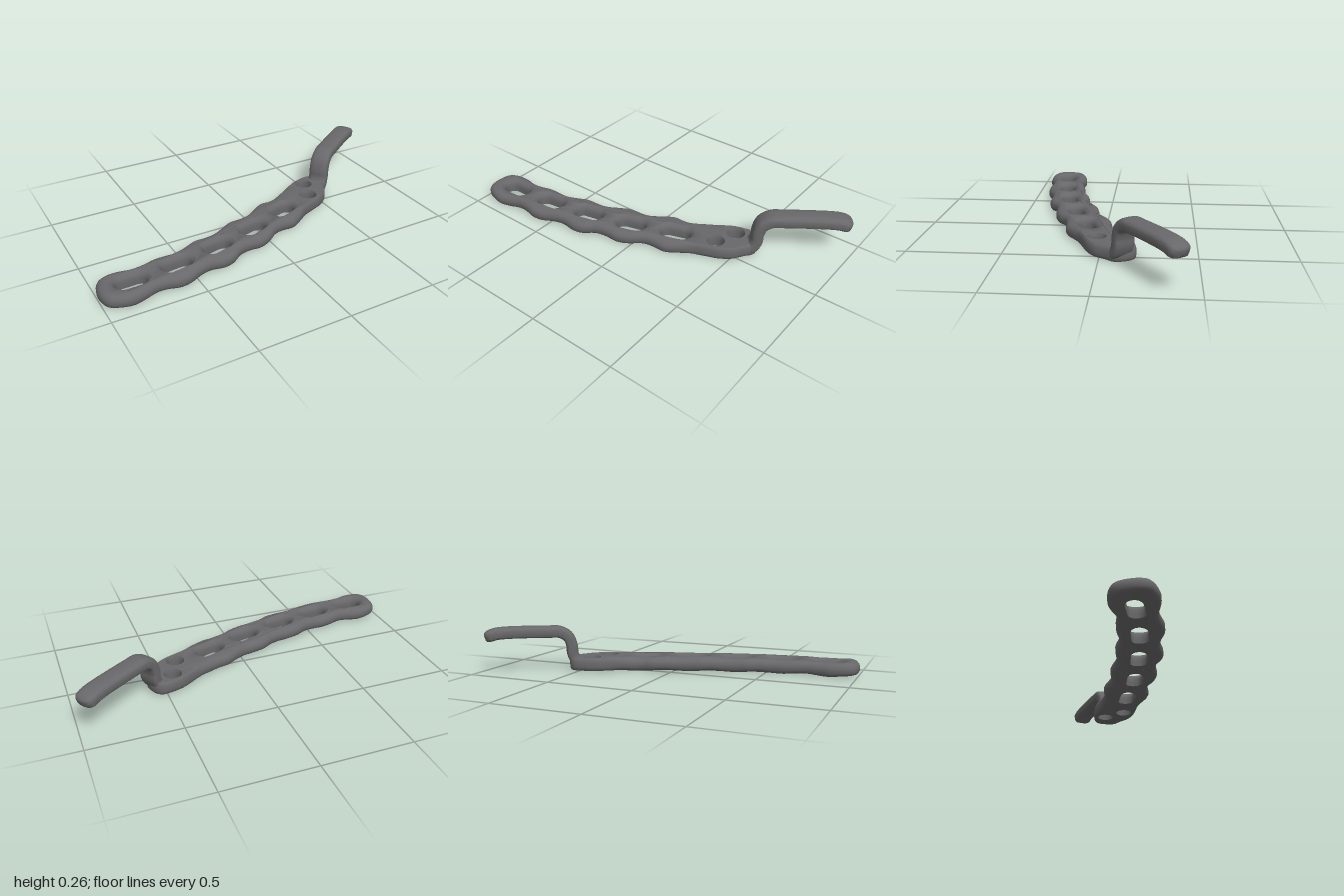
import * as THREE from 'three';
import { toCreasedNormals } from 'three/addons/utils/BufferGeometryUtils.js';

const metal = new THREE.MeshStandardMaterial({ color: 0x68686a });
metal.name = 'dark grey metal';

function makeGeometry(positions, index) {
  const g = new THREE.BufferGeometry();
  g.setAttribute('position', new THREE.Float32BufferAttribute(positions, 3));
  g.setIndex(index);
  return toCreasedNormals(g, 0.7);
}

// Scalloped plate edge as [x, z]: back edge left to right, then front edge back again
const EDGE = [
  [-1, .30], [-.98, .245], [-.93, .215], [-.86, .203], [-.79, .215], [-.73, .215], [-.66, .195],
  [-.60, .187], [-.545, .187], [-.475, .17], [-.41, .14], [-.34, .13], [-.28, .12], [-.21, .09],
  [-.155, .06], [-.10, .05], [-.03, .037], [.03, .005], [.10, -.035], [.165, -.043], [.235, -.07],
  [.30, -.10], [.35, -.13], [.40, -.16], [.46, -.18], [.53, -.187], [.565, -.16], [.588, -.08],
  [.555, -.03], [.515, .03], [.46, .07], [.395, .097], [.325, .125], [.26, .17], [.19, .208],
  [.12, .215], [.06, .23], [-.005, .273], [-.075, .30], [-.145, .305], [-.21, .32], [-.275, .36],
  [-.34, .374], [-.41, .37], [-.475, .385], [-.545, .412], [-.61, .422], [-.675, .412],
  [-.73, .412], [-.80, .43], [-.865, .445], [-.93, .437], [-.975, .415], [-.998, .37],
];

// Holes: centre x, z, tilt, half the straight length (0 = round)
const HOLES = [
  [-.83, .322, .03, .04], [-.575, .295, .13, .04], [-.32, .245, .22, .04],
  [-.065, .175, .3, .04], [.18, .085, .37, .04], [.40, .02, 0, 0], [.45, -.105, 0, 0],
];

// Plate thickness profile, bottom to top: y, edge inset, slot radius
const LEVELS = [
  [.004, .022, .043], [.010, .008, .043], [.024, 0, .043], [.046, 0, .043],
  [.060, .006, .048], [.070, .016, .058], [.076, .030, .067],
];

function holeLoop([cx, cz, tilt, half], slotRadius) {
  const r = half ? slotRadius : .045 + (slotRadius - .043) * .25;
  const n = 36, c = Math.cos(tilt), s = Math.sin(tilt);
  return Array.from({ length: n }, (_, i) => {
    const a = (i + .5) / n * Math.PI * 2;
    const u = Math.sign(Math.cos(a)) * half + r * Math.cos(a);
    const v = -r * Math.sin(a);
    return new THREE.Vector2(cx + u * c + v * s, cz - u * s + v * c);
  });
}

function plateGeometry() {
  const curve = new THREE.CatmullRomCurve3(EDGE.map(([x, z]) => new THREE.Vector3(x, 0, z)), true);
  const edge = curve.getSpacedPoints(220).slice(0, -1);
  const edgeLoop = inset => edge.map((p, i) => {
    const a = edge.at(i - 1), b = edge[(i + 1) % edge.length];
    const t = new THREE.Vector2(b.x - a.x, b.z - a.z).normalize();
    const k = inset * (1 - .6 * THREE.MathUtils.smoothstep(p.x, .2, .35));
    return new THREE.Vector2(p.x - t.y * k, p.z + t.x * k);
  });
  const layers = LEVELS.map(([, inset, r]) => [edgeLoop(inset), ...HOLES.map(h => holeLoop(h, r))]);

  const positions = [], index = [];
  layers.forEach((loops, k) => loops.flat().forEach(p => {
    // gentle rise between slots
    const fade = 1 - THREE.MathUtils.smoothstep(p.x, .2, .35);
    const wave = .004 * Math.cos(Math.PI * 2 * (p.x + .7) / .255) * fade;
    positions.push(p.x, LEVELS[k][0] + wave, p.y);
  }));
  const perLayer = layers[0].flat().length;

  // outer rim and hole walls
  for (let k = 0; k < LEVELS.length - 1; k++) {
    let start = k * perLayer;
    for (const loop of layers[k]) {
      for (let i = 0; i < loop.length; i++) {
        const p = start + i, q = start + (i + 1) % loop.length;
        index.push(q, p, p + perLayer, q, p + perLayer, q + perLayer);
      }
      start += loop.length;
    }
  }
  // bottom and top faces
  for (const k of [0, LEVELS.length - 1]) {
    const flat = layers[k].flat();
    for (const [a, b, c] of THREE.ShapeUtils.triangulateShape(layers[k][0], layers[k].slice(1))) {
      const area = THREE.ShapeUtils.area([flat[a], flat[b], flat[c]]);
      const o = k * perLayer;
      if ((area < 0) === (k > 0)) index.push(o + a, o + b, o + c);
      else index.push(o + a, o + c, o + b);
    }
  }
  return makeGeometry(positions, index);
}

// Raised arm: rounded bar swept along an S bend in the plane of its own direction
function armGeometry() {
  const dir = new THREE.Vector3(.82, 0, -.572), side = new THREE.Vector3(.572, 0, .82);
  const path = new THREE.CatmullRomCurve3([
    [-.04, .042], [-.005, .05], [.017, .09], [.022, .14], [.042, .19], [.09, .22],
    [.15, .223], [.40, .223], [.455, .217], [.51, .198],
  ].map(([s, y]) => new THREE.Vector3(s, y, 0)));
  const rings = 120, n = 32, length = path.getLength();
  const positions = [], index = [];
  const put = (s, y, w) => {
    const p = new THREE.Vector3(.555, y, -.11).addScaledVector(dir, s).addScaledVector(side, w);
    positions.push(p.x, p.y, p.z);
  };
  const power = (v, e) => Math.sign(v) * Math.abs(v) ** e;
  for (let k = 0; k <= rings; k++) {
    const c = path.getPointAt(k / rings), t = path.getTangentAt(k / rings);
    const e = Math.min(1, (1 - k / rings) * length / .04);
    const q = Math.sqrt(1 - (1 - e) ** 2); // rounded tip
    for (let i = 0; i < n; i++) {
      const a = i / n * Math.PI * 2, e2 = Math.sin(a) > 0 ? .65 : .4;
      const w = .056 * (.35 + .65 * q) * power(Math.cos(a), e2);
      const h = .033 * (.5 + .5 * q) * power(Math.sin(a), e2);
      put(c.x - t.y * h, c.y + t.x * h, w);
    }
  }
  for (let k = 0; k < rings; k++) for (let i = 0; i < n; i++) {
    const a = k * n + i, b = k * n + (i + 1) % n;
    index.push(a, a + n, b, b, a + n, b + n);
  }
  // end caps
  for (const k of [0, rings]) {
    const c = path.getPointAt(k / rings), centre = positions.length / 3;
    put(c.x, c.y, 0);
    for (let i = 0; i < n; i++) {
      const a = k * n + i, b = k * n + (i + 1) % n;
      if (k) index.push(centre, b, a);
      else index.push(centre, a, b);
    }
  }
  return makeGeometry(positions, index);
}

export function createModel() {
  const model = new THREE.Group();
  model.name = 'slottedPlateWithArm';
  for (const [name, geometry] of [['slottedPlate', plateGeometry()], ['raisedArm', armGeometry()]]) {
    const mesh = new THREE.Mesh(geometry, metal);
    mesh.name = name;
    model.add(mesh);
  }
  return model;
}
